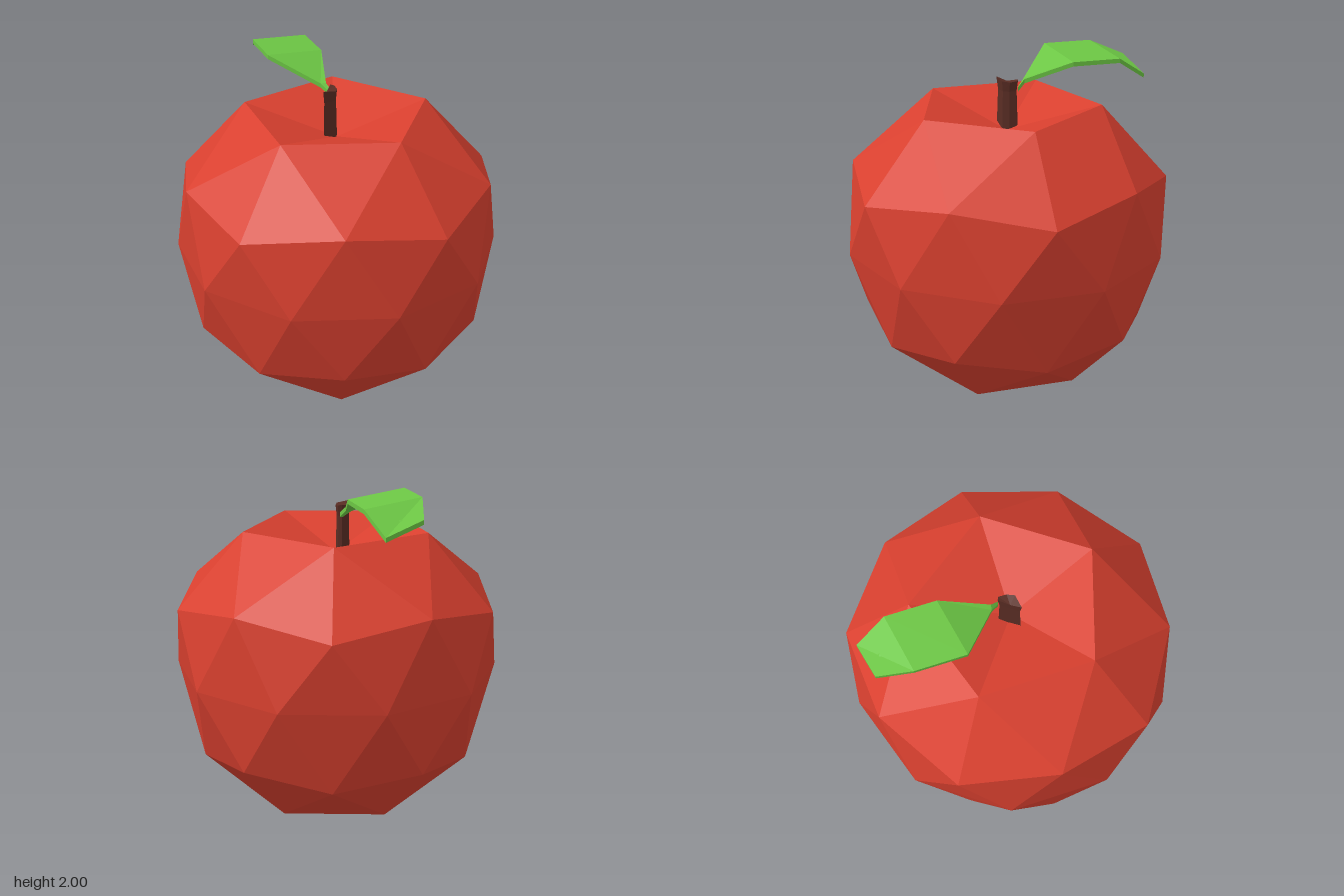
import * as THREE from 'three';

const mat = (color, side = THREE.FrontSide) =>
  new THREE.MeshStandardMaterial({ color, flatShading: true, side });

// Closed skin over equal-sized cross-sections, each counter-clockwise seen from the last one
function loft(sections) {
  const n = sections[0].length, pos = [];
  const tri = (a, b, c) => pos.push(...a, ...b, ...c);
  for (let s = 0; s < sections.length - 1; s++) {
    const a = sections[s], b = sections[s + 1];
    for (let i = 0; i < n; i++) {
      const j = (i + 1) % n;
      tri(a[i], a[j], b[j]);
      tri(a[i], b[j], b[i]);
    }
  }
  const first = sections[0], last = sections[sections.length - 1];
  for (let i = 1; i < n - 1; i++) {
    tri(first[0], first[i + 1], first[i]);
    tri(last[0], last[i], last[i + 1]);
  }
  const g = new THREE.BufferGeometry();
  g.setAttribute('position', new THREE.Float32BufferAttribute(pos, 3));
  g.computeVertexNormals();
  return g;
}

// Faceted fruit: an icosphere standing on a corner, each ring moved to its own height and radius
function fruitGeometry() {
  // [height on the unit sphere, new height, new radius]
  const rings = [
    [1, 1.59, 0], [0.851, 1.74, 0.54], [0.526, 1.4, 0.88], [0.447, 1.32, 0.92], [0, 0.93, 0.925],
    [-0.447, 0.51, 0.83], [-0.526, 0.44, 0.79], [-0.851, 0.14, 0.49], [-1, 0, 0],
  ];
  const g = new THREE.IcosahedronGeometry(1, 1);
  g.rotateZ(-Math.atan(2 / (1 + Math.sqrt(5))));
  const p = g.attributes.position;
  for (let i = 0; i < p.count; i++) {
    const x = p.getX(i), y = p.getY(i), z = p.getZ(i);
    const [, h, r] = rings.reduce((a, b) => (Math.abs(b[0] - y) < Math.abs(a[0] - y) ? b : a));
    const k = r / Math.max(Math.hypot(x, z), 1e-6);
    p.setXYZ(i, -0.02 + x * k, h, z * k);
  }
  g.computeVertexNormals();
  return g;
}

// Stalk: a six-sided rod with a narrow waist and an uneven top
function stalkGeometry() {
  const outline = [[-0.07, -0.02], [-0.11, 0.03], [-0.03, 0.02], [-0.01, -0.02], [-0.01, -0.065], [-0.03, -0.075]];
  const tops = [1.86, 1.88, 1.87, 1.865, 1.87, 1.875];
  const ring = (scale, y) => outline.map(([x, z], i) =>
    [-0.055 + (x + 0.055) * scale, y ?? tops[i], -0.02 + (z + 0.02) * scale]);
  return loft([ring(1, 1.53), ring(0.85, 1.81), ring(1)]);
}

// Leaf: a thin bent blade, given as left and right edge points from stalk to tip
function leafGeometry() {
  const rows = [
    [[-0.035, 1.83, -0.075], [-0.02, 1.83, -0.07]],
    [[-0.07, 1.87, -0.12], [-0.04, 1.87, -0.115]],
    [[-0.31, 2.0, -0.32], [0.03, 1.965, -0.38]],
    [[-0.31, 2.0, -0.6], [0.03, 1.965, -0.66]],
    [[-0.25, 1.92, -0.79], [-0.03, 1.85, -0.835]],
  ];
  const below = ([x, y, z]) => [x, y - 0.025, z];
  return loft(rows.map(([l, r]) => [l, r, below(r), below(l)]));
}

export function createModel() {
  const group = new THREE.Group();
  group.name = 'apple';
  const add = (name, geometry, material) => {
    const mesh = new THREE.Mesh(geometry, material);
    mesh.name = name;
    group.add(mesh);
  };
  add('fruit', fruitGeometry(), mat(0xd9402f));
  add('stalk', stalkGeometry(), mat(0x5a2d24));
  add('leaf', leafGeometry(), mat(0x6cc644, THREE.DoubleSide));
  return group;
}
